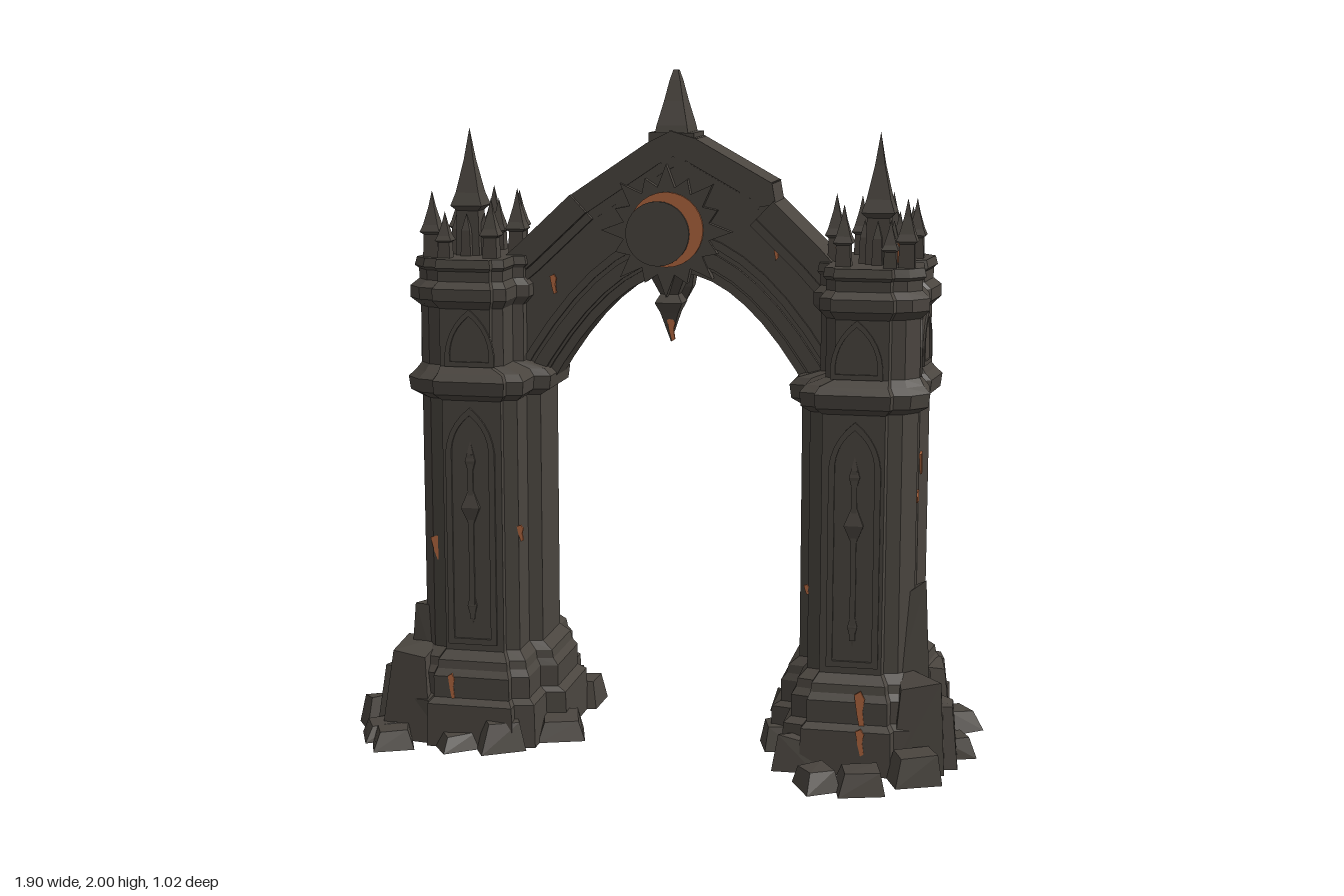
import * as THREE from 'three';
import { ConvexGeometry } from 'three/addons/geometries/ConvexGeometry.js';

const stone = new THREE.MeshStandardMaterial({ color: 0x4a453f });
stone.name = 'dark stone';
const ember = new THREE.MeshStandardMaterial({ color: 0xb0663f });
ember.name = 'ember orange';

let seed = 7;
const rnd = (a, b) => a + (b - a) * (seed = (seed * 16807) % 2147483647) / 2147483647;

// Adds a facetted mesh
function add(parent, name, geo, x = 0, y = 0, z = 0, mat = stone, ry = 0) {
  const g = geo.index ? geo.toNonIndexed() : geo;
  g.computeVertexNormals();
  const m = new THREE.Mesh(g, mat);
  m.name = name;
  m.position.set(x, y, z);
  m.rotation.y = ry;
  parent.add(m);
  return m;
}
const vecs = (pts) => pts.map(([x, y]) => new THREE.Vector2(x, y));
const extrude = (shape, depth) => new THREE.ExtrudeGeometry(shape, { depth, bevelEnabled: false, curveSegments: 5 });
// Four-sided turned piece with its faces square to the axes
const spire = (pts) => new THREE.LatheGeometry(vecs(pts), 4, Math.PI / 4);

// Irregular stone block standing on the ground
function rock(parent, name, x, z, w, h, d, ry) {
  const pts = [];
  for (const a of [-1, 1]) for (const b of [0, 1]) for (const c of [-1, 1]) {
    const k = (b ? 0.36 : 0.5) * rnd(0.88, 1.1);
    pts.push(new THREE.Vector3(a * w * k, b * h * rnd(0.78, 1), c * d * k));
  }
  add(parent, name, new ConvexGeometry(pts), x, 0, z, stone, ry);
}

// Jagged thin plate for a glowing crack
function crack(parent, x, y, z, w, h, ry = 0) {
  const s = new THREE.Shape(vecs([[0.1 * w, -h / 2], [w * 0.5, -h * 0.42], [w * 0.32, 0], [w * 0.5, h * 0.3],
    [w * 0.1, h / 2], [-w * 0.5, h * 0.4], [-w * 0.22, -h * 0.1]]));
  add(parent, 'glowingCrack', extrude(s, 0.008), x, y, z, ember, ry);
}

// Pointed window frame
function lancetPath(P, w, h, y0) {
  const p = new P();
  p.moveTo(-w, y0);
  p.lineTo(w, y0);
  p.lineTo(w, h - 1.8 * w);
  p.quadraticCurveTo(w * 0.9, h - 0.7 * w, 0, h);
  p.quadraticCurveTo(-w * 0.9, h - 0.7 * w, -w, h - 1.8 * w);
  return p;
}
function lancetFrame(w, h, t) {
  const s = lancetPath(THREE.Shape, w, h, 0);
  s.holes.push(lancetPath(THREE.Path, w - t, h - 1.3 * t, t));
  return extrude(s, 0.012);
}

// Plan of a tower: [outward, z]; a pilaster front and back, a jamb inside, a notch outside
const half = [[-0.175, 0.1], [-0.135, 0.11], [-0.135, 0.215], [-0.095, 0.225], [-0.095, 0.25],
  [0.085, 0.25], [0.09, 0.228], [0.13, 0.218], [0.17, 0.17], [0.155, 0.035], [0.12, 0.012]];
const plan = [...half, ...half.map(([u, z]) => [u, -z]).reverse()];
// Rings of the tower: [height, growth]
const rings = [[0, 0.08], [0.13, 0.075], [0.145, 0.05], [0.21, 0.05], [0.23, 0.035], [0.255, 0.03], [0.28, 0],
  [1.04, 0], [1.06, 0.03], [1.1, 0.035], [1.12, 0.015], [1.14, -0.008], [1.31, -0.008], [1.335, 0.018],
  [1.37, 0.018], [1.39, -0.005], [1.42, -0.005], [1.43, 0.006], [1.455, 0]];
// Pinnacles: [outward, z, height]
const pinnacles = [[0.04, 0.08, 0.38], [0.13, 0.17, 0.2], [0.09, 0, 0.15], [0.13, -0.1, 0.18], [-0.05, 0.17, 0.18],
  [-0.09, 0.03, 0.2], [-0.04, -0.17, 0.18], [0.05, -0.2, 0.19], [0.11, -0.18, 0.15], [0, -0.08, 0.16], [0.085, 0.19, 0.14]];

// One tower: s is its side, slab the height of the block leaning on it, fallen the places of loose stones
function tower(s, cx, slab, fallen) {
  const t = new THREE.Group();
  t.name = s > 0 ? 'leftTower' : 'rightTower';
  t.position.set(cx, 0, -0.01);

  // Plinth, shaft and cornices in one stack of rings
  const steps = rings.length - 1;
  const body = new THREE.ExtrudeGeometry(new THREE.Shape(vecs(plan.map(([u, z]) => [s * u, z]))),
    { depth: steps, steps, bevelEnabled: false });
  body.rotateX(-Math.PI / 2);
  const p = body.attributes.position;
  for (let i = 0; i < p.count; i++) {
    const [y, g] = rings[Math.round(p.getY(i))];
    let u = s * p.getX(i) * (1 + g / 0.17);
    if (y > 1.13) u = (u < 0 ? u * 0.8 : u) + 0.01;
    p.setXYZ(i, s * u, y, p.getZ(i) * (1 + g / 0.25));
  }
  add(t, 'towerBody', body);

  // Lancet panels and hanging ornaments, front and back
  for (const f of [1, -1]) {
    const face = new THREE.Group();
    face.name = f > 0 ? 'frontPanel' : 'backPanel';
    face.rotation.y = f > 0 ? 0 : Math.PI;
    t.add(face);
    add(face, 'lancetFrame', lancetFrame(0.075, 0.72, 0.018), 0, 0.3, 0.245);
    add(face, 'ornamentStem', new THREE.BoxGeometry(0.016, 0.5, 0.012), 0, 0.63, 0.25);
    for (const [y, r, h] of [[0.72, 0.04, 0.07], [0.86, 0.022, 0.06], [0.42, 0.02, 0.06]]) {
      add(face, 'ornamentBud', spire([[0, -h], [r, 0], [0, h]]), 0, y, 0.25).scale.z = 0.45;
    }
    add(face, 'upperPanel', lancetFrame(0.075, 0.17, 0.015), 0, 1.14, 0.237);
    add(t, 'sidePanel', lancetFrame(0.055, 0.16, 0.013), s * 0.159, 1.14, f * 0.1, stone, s * Math.PI / 2 + f * s * 0.11);
  }

  // Roof pinnacles, and low gablets round the main one
  for (const [u, z, h] of pinnacles) {
    const r = 0.012 + h * 0.105;
    add(t, 'pinnacle', spire([[0, 0], [r, 0], [r * 0.9, h * 0.36], [r * 1.3, h * 0.4], [r * 0.95, h * 0.5], [r * 0.4, h * 0.75], [0, h]]),
      s * u, 1.45, z);
  }
  for (const [a, b] of [[1, 0], [-1, 0], [0, 1], [0, -1]]) {
    add(t, 'gablet', spire([[0, 0], [0.022, 0], [0.018, 0.08], [0, 0.13]]), s * 0.04 + a * 0.042, 1.45, 0.08 + b * 0.042);
  }

  // Leaning blocks on the outer side and loose stones round the foot
  for (const [u, z, w, h, d] of [[0.135, 0.11, 0.17, slab, 0.22], [0.19, 0.21, 0.16, 0.3, 0.17],
    [0.19, -0.12, 0.13, 0.24, 0.2], [0.15, -0.25, 0.18, 0.24, 0.19], [0.24, 0.16, 0.13, 0.22, 0.14]]) {
    rock(t, 'leaningBlock', s * u, z, w, h, d, s * 0.15);
  }
  for (const [x, z] of fallen) {
    rock(t, 'fallenStone', x - cx, z + 0.01, rnd(0.1, 0.15), rnd(0.05, 0.11), rnd(0.1, 0.14), rnd(0, 0.7));
  }
  return t;
}

// Curve of the arch opening, widened by e
function openCurve(e) {
  return Array.from({ length: 17 }, (_, i) => {
    const f = i / 8 - 1;
    return [0.04 + f * (0.4 + e), 1.05 + (0.36 + e) * (1 - Math.abs(f) ** 1.95)];
  });
}
function archRing(e0, e1, z0, z1) {
  const g = extrude(new THREE.Shape(vecs([...openCurve(e0), ...openCurve(e1).reverse()])), z1 - z0);
  return g.translate(0, 0, z0);
}

const gable = [[-0.56, 1.38], [-0.44, 1.48], [-0.28, 1.63], [-0.05, 1.785], [0.02, 1.82], [0.09, 1.8], [0.315, 1.675], [0.325, 1.62], [0.46, 1.49], [0.57, 1.37]];

export function createModel() {
  const model = new THREE.Group();
  model.name = 'ruinedArchway';
  model.add(
    tower(-1, -0.545, 0.42, [[-0.6, -0.39], [-0.54, -0.44], [-0.87, 0.14], [-0.31, -0.19], [-0.3, 0.14], [-0.77, 0.33],
      [-0.45, 0.28], [-0.38, -0.3], [-0.83, 0.26], [-0.7, -0.32], [-0.58, 0.3]]),
    tower(1, 0.595, 0.56, [[0.71, -0.38], [0.86, -0.18], [0.87, 0.07], [0.52, 0.43], [0.65, 0.43], [0.79, 0.33],
      [0.36, -0.2], [0.36, 0.1], [0.53, -0.34], [0.44, 0.27]]));

  // Arch wall and stepped mouldings round the opening
  const arch = new THREE.Group();
  arch.name = 'arch';
  model.add(arch);
  const wall = new THREE.Shape(vecs([[-0.56, 1.05], ...gable, [0.57, 1.05], ...openCurve(0.03).reverse()]));
  add(arch, 'archWall', extrude(wall, 0.145), 0, 0, -0.095);
  add(arch, 'innerMoulding', archRing(0, 0.045, -0.08, 0.035));
  add(arch, 'middleMoulding', archRing(0.04, 0.085, -0.11, 0.065));
  add(arch, 'outerMoulding', archRing(0.1, 0.125, -0.105, 0.06));

  // Coping stones along the gable, slimmer towards the top
  for (let i = 0; i < gable.length - 1; i++) {
    const [[x0, y0], [x1, y1]] = [gable[i], gable[i + 1]];
    const len = Math.hypot(x1 - x0, y1 - y0), a = Math.atan2(y1 - y0, x1 - x0);
    const depth = y0 + y1 > 3.2 ? 0.162 : 0.195;
    for (const [drop, h, d] of [[0.03, 0.07, depth], [0.08, 0.025, depth - 0.008]]) {
      const m = add(arch, 'copingStone', new THREE.BoxGeometry(len + 0.008, h, d),
        (x0 + x1) / 2 + Math.sin(a) * drop, (y0 + y1) / 2 - Math.cos(a) * drop, -0.025);
      m.rotation.z = a;
    }
  }

  // Finial on top and pendants below the crown
  add(arch, 'finialBase', new THREE.BoxGeometry(0.135, 0.07, 0.155), 0.02, 1.785, -0.028);
  add(arch, 'finial', spire([[0, 1.78], [0.078, 1.78], [0.064, 1.84], [0.04, 1.91], [0.022, 1.97], [0.01, 2], [0, 2]]), 0.02, 0, -0.028).scale.z = 1.5;
  add(arch, 'pendant', spire([[0, 1.2], [0.038, 1.29], [0.058, 1.32], [0.038, 1.345], [0.085, 1.42], [0.06, 1.46], [0, 1.46]]), 0.012, 0, 0.01);
  add(arch, 'backPendant', spire([[0, 1.31], [0.035, 1.36], [0.05, 1.43], [0, 1.44]]), 0.04, 0, -0.07);

  // Sun with rays and a glowing crescent
  const star = Array.from({ length: 32 }, (_, i) => {
    const a = i * Math.PI / 16, r = i % 2 ? 0.13 : (i % 4 ? 0.165 : 0.195);
    return [Math.cos(a) * r, Math.sin(a) * r];
  });
  add(arch, 'sunRays', extrude(new THREE.Shape(vecs(star)), 0.035), 0.01, 1.535, 0.04);
  const disc = (r, h) => new THREE.CylinderGeometry(r, r, h, 28).rotateX(Math.PI / 2);
  add(arch, 'sunCrescent', disc(0.11, 0.009), 0.012, 1.54, 0.079, ember);
  add(arch, 'sunDisc', disc(0.095, 0.018), -0.013, 1.528, 0.083);

  // Glowing cracks on the front, then on the outer side
  for (const c of [[0.016, 1.24, 0.023, 0.024, 0.07], [-0.665, 0.585, 0.204, 0.035, 0.075], [-0.6, 0.18, 0.285, 0.02, 0.08],
    [-0.405, 0.64, 0.2, 0.02, 0.05], [0.625, 0.185, 0.286, 0.03, 0.12], [0.63, 0.1, 0.312, 0.025, 0.08],
    [0.54, 1.49, 0.17, 0.035, 0.05], [0.455, 0.515, 0.2, 0.015, 0.03],
    [0.33, 1.5, 0.048, 0.02, 0.09], [-0.335, 1.37, 0.058, 0.02, 0.06]]) crack(model, ...c);
  for (const [x, y, z, w, h] of [[0.75, 0.37, -0.068, 0.05, 0.13], [0.75, 0.85, -0.06, 0.03, 0.07],
    [0.754, 0.78, 0.09, 0.07, 0.04], [0.69, 1.49, 0.09, 0.04, 0.06]]) crack(model, x, y, z, w, h, Math.PI / 2);
  return model;
}
